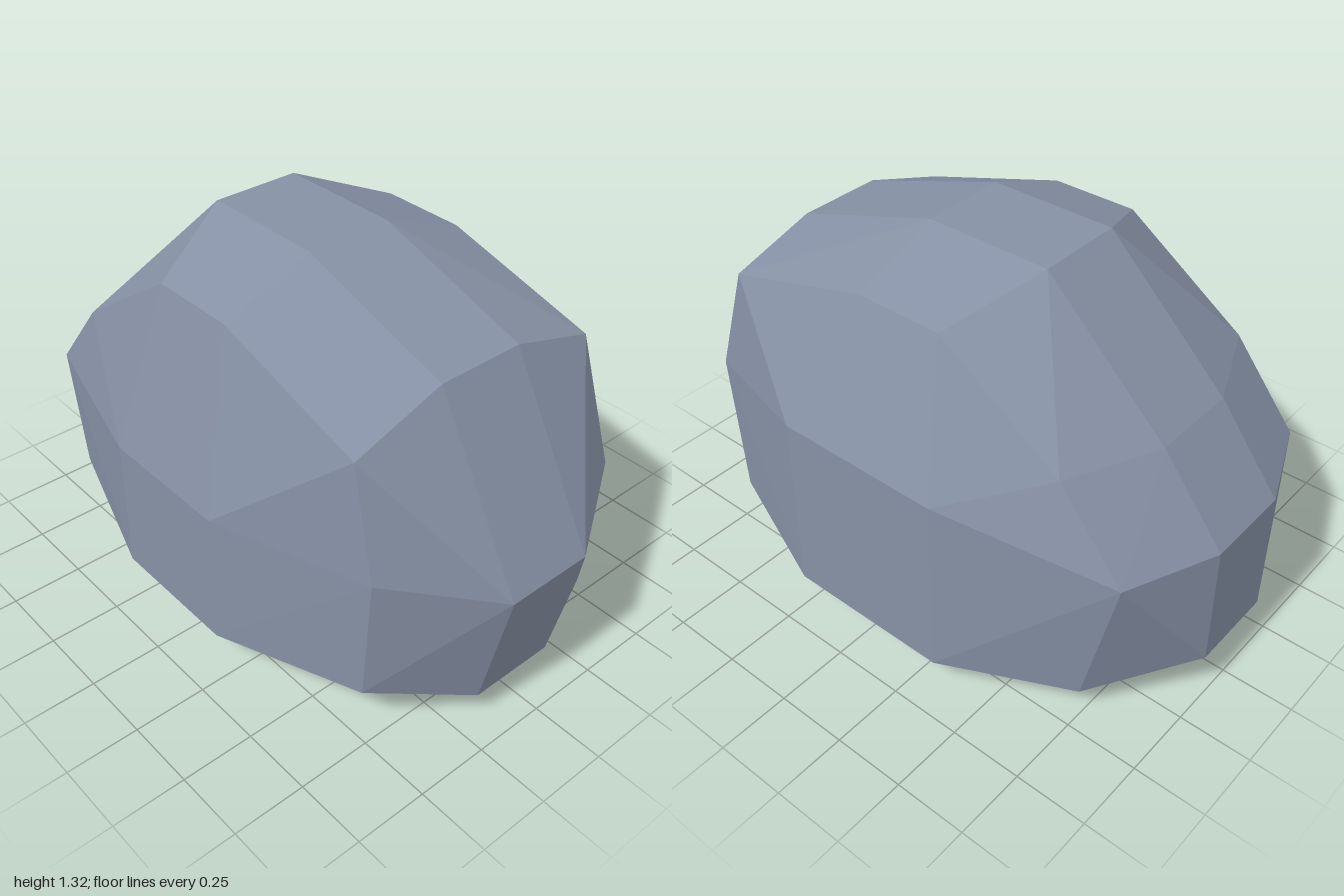
import * as THREE from 'three';
import { ConvexGeometry } from 'three/addons/geometries/ConvexGeometry.js';

// Faceted boulder: corner points grouped by region, wrapped in a convex skin.
export function createModel() {
  const stone = new THREE.MeshStandardMaterial({ color: 0x8691a5 });
  stone.name = 'blue grey stone';
  const points = [];
  const add = (x, y, z) => points.push(new THREE.Vector3(x, y, z));

  // Middle band running over the boulder from side to side: [x, y]
  const band = [[-1, 0.18], [-1, 0.62], [-0.78, 0.9], [-0.34, 1.32], [0.11, 1.32], [0.67, 1.14], [1, 0.555], [0.9, 0.1]];
  for (const [x, y] of band) for (const z of [0.17, -0.14]) add(x, y, z);

  // Shoulder outlines, set in towards the front and the back
  const crown = [[-0.64, 0.9], [-0.2, 1.2], [0.11, 1.2]];
  const frontShoulder = [[-0.8, 0.19], [-0.87, 0.62], ...crown, [0.67, 1.03], [0.75, 0.64], [0.72, 0.19]];
  const backShoulder = [[-0.75, 0.11], [-0.87, 0.62], ...crown, [0.67, 1.05], [0.81, 0.64], [0.77, 0.11]];
  for (const [x, y] of frontShoulder) add(x, y, 0.49);
  for (const [x, y] of backShoulder) add(x, y, -0.45);

  // Flat front and back faces
  for (const x of [-0.27, 0.21]) for (const y of [0.15, 0.625]) add(x, y, 0.655);
  for (const x of [-0.33, 0.26]) for (const y of [0.11, 0.76]) add(x, y, -0.655);

  // Resting face: [x, z]
  const base = [[0.29, -0.45], [0.29, 0.35], [-0.11, 0.43], [-0.43, 0.44], [-0.6, 0.14], [-0.6, -0.3], [-0.2, -0.45]];
  for (const [x, z] of base) add(x, 0, z);

  const boulder = new THREE.Mesh(new ConvexGeometry(points), stone);
  boulder.name = 'boulder';
  const group = new THREE.Group();
  group.name = 'rock';
  group.add(boulder);
  return group;
}
